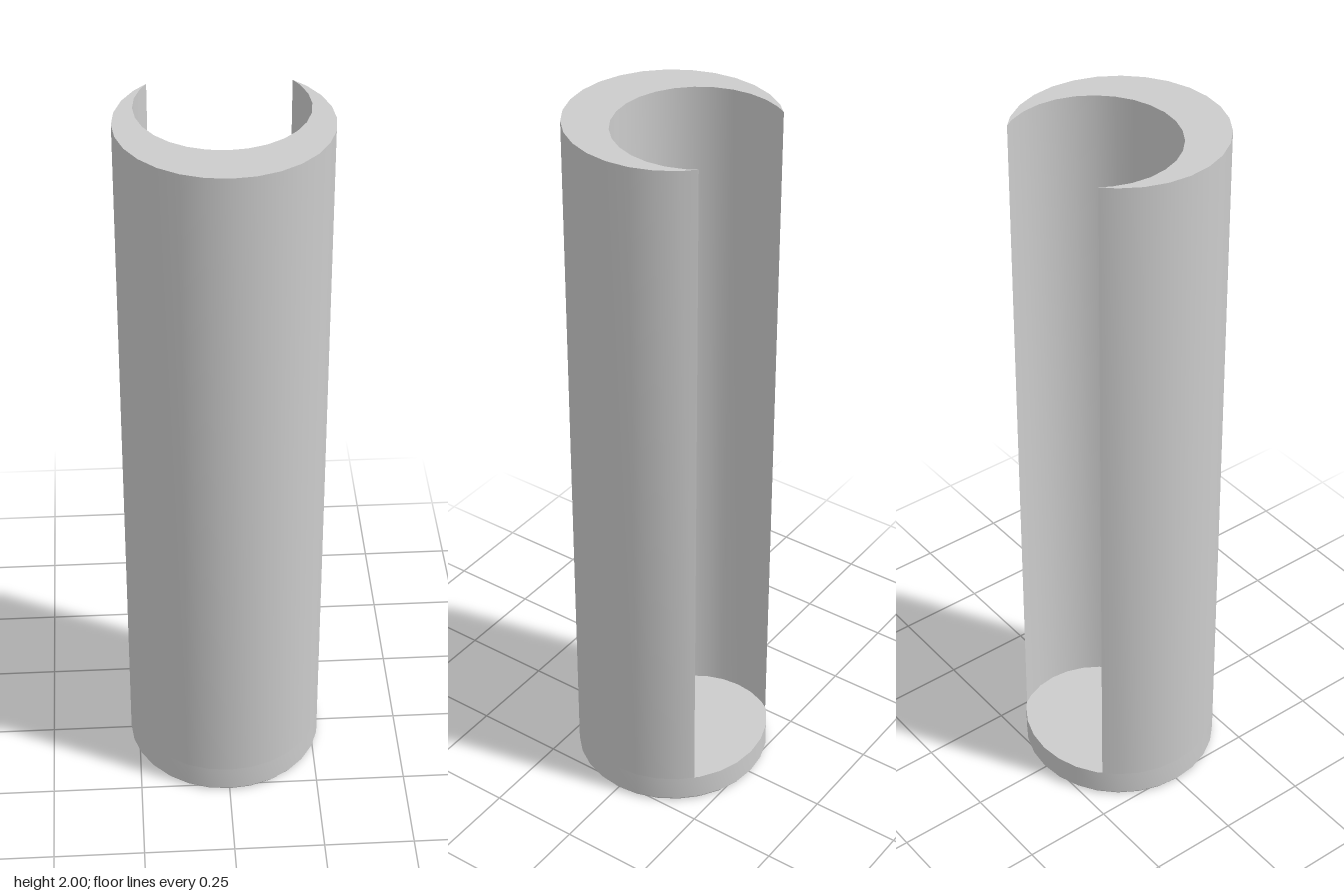
import * as THREE from 'three';
import { toCreasedNormals } from 'three/addons/utils/BufferGeometryUtils.js';

const SIDES = 28;
const R = 0.273;          // outer radius
const BORE = 0.22;        // bore radius
const OFFSET = 0.08;      // bore centre, shifted towards the back
const FLOOR = 0.08;       // height of the solid base
const HEIGHT = 2;

export function createModel() {
  const group = new THREE.Group();
  const material = new THREE.MeshStandardMaterial({ color: 0xcccccc });

  const add = (name, geometry) => {
    const mesh = new THREE.Mesh(toCreasedNormals(geometry, 0.6), material);
    mesh.name = name;
    group.add(mesh);
  };
  const onCircle = (k, r, cy) => {
    const a = (k / SIDES) * Math.PI * 2;
    return new THREE.Vector2(Math.cos(a) * r, Math.sin(a) * r + cy);
  };

  // Solid round base with a fine bevel at the foot
  const profile = [[0, 0], [R - 0.006, 0], [R, 0.008], [R, FLOOR], [0, FLOOR]];
  add('base', new THREE.LatheGeometry(profile.map(([x, y]) => new THREE.Vector2(x, y)), SIDES));

  // Crescent wall: outer arc round the front, then back along the bore
  const points = [new THREE.Vector2(0.182, 0.202)];
  for (let k = 3; k >= -17; k--) points.push(onCircle(k, R, 0));
  points.push(new THREE.Vector2(-0.182, 0.202));
  for (let k = -16; k <= 2; k++) points.push(onCircle(k, BORE, OFFSET));
  const wall = new THREE.ExtrudeGeometry(new THREE.Shape(points), {
    depth: HEIGHT - FLOOR, bevelEnabled: false,
  });
  wall.rotateX(-Math.PI / 2);
  wall.translate(0, FLOOR, 0);
  add('crescentWall', wall);

  return group;
}
